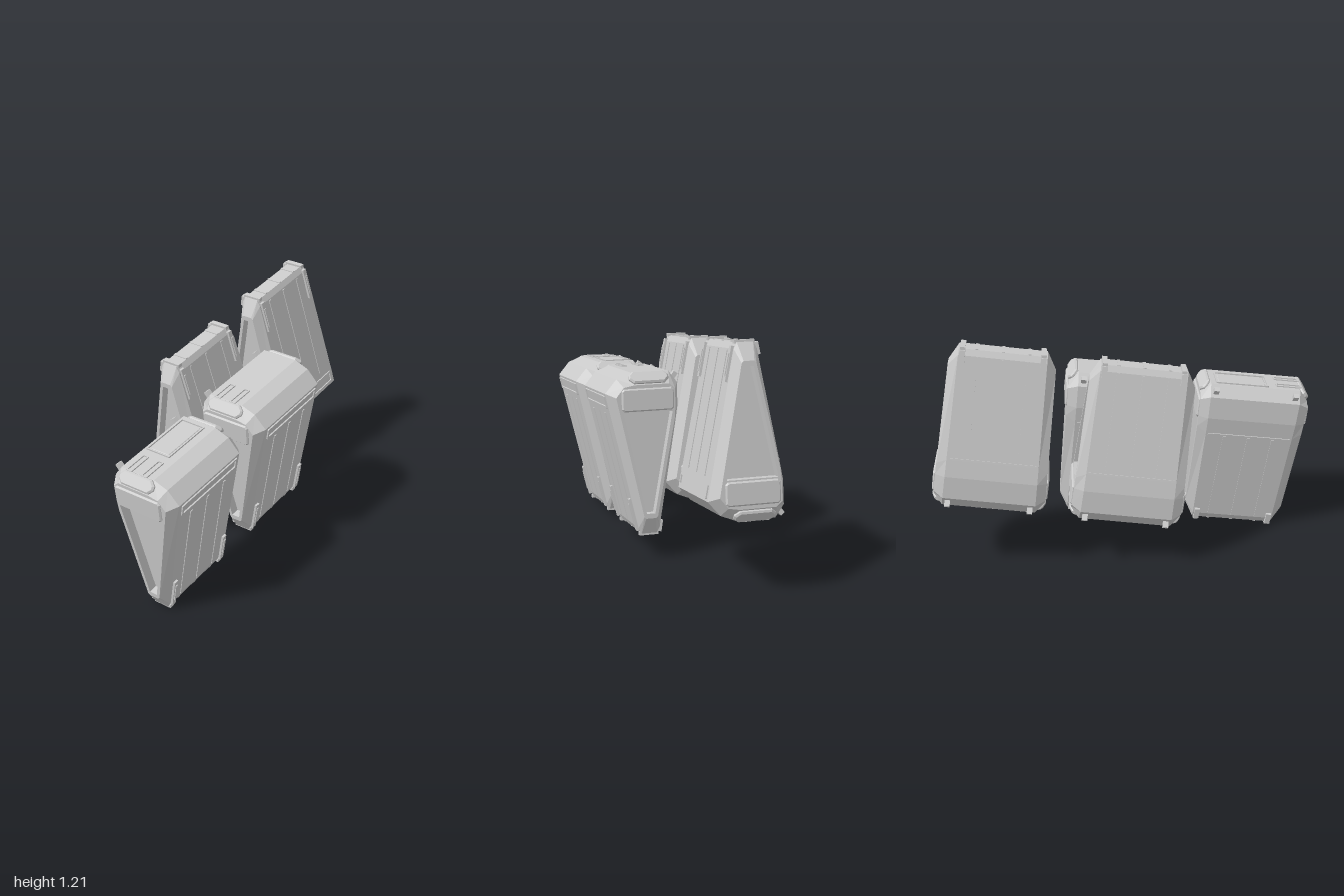
import * as THREE from 'three';

const mat = new THREE.MeshStandardMaterial({ color: 0xcccccc, flatShading: true });

// Side profile as [z, y]: wide end at y = 0, narrow end on top
const OUTER = [[0.075, 0], [0.15, 0.03], [0.21, 0.1], [0.056, 0.8], [0.04, 0.83], [-0.04, 0.83],
  [-0.056, 0.8], [-0.15, 0.27], [-0.165, 0.18], [-0.165, 0.06], [-0.12, 0]];
// Same profile inset at the end faces, and the recess cut into them
const INNER = [[0.07, 0.06], [0.125, 0.07], [0.165, 0.12], [0.036, 0.735], [0.026, 0.745], [-0.026, 0.745],
  [-0.036, 0.735], [-0.135, 0.24], [-0.14, 0.18], [-0.14, 0.085], [-0.11, 0.06]];
const RECESS = [[0.128, 0.2], [0.022, 0.72], [-0.022, 0.72], [-0.125, 0.2]];
const HALF = 0.2875, CORE = 0.2375;

function add(parent, geo, name, x = 0, y = 0, z = 0, rx = 0, ry = 0, rz = 0) {
  const m = new THREE.Mesh(geo, mat);
  m.name = name;
  m.position.set(x, y, z);
  m.rotation.set(rx, ry, rz, 'ZYX');
  parent.add(m);
  return m;
}

// The body gets slightly narrower towards the narrow end
function taper(geo) {
  const p = geo.attributes.position;
  for (let i = 0; i < p.count; i++) p.setX(i, p.getX(i) * (1 - 0.094 * p.getY(i)));
  geo.computeVertexNormals();
  return geo;
}

// Skin between successive [profile, x] loops
function loft(loops) {
  const pos = [];
  for (let k = 0; k + 1 < loops.length; k++) {
    const [A, xa] = loops[k], [B, xb] = loops[k + 1];
    A.forEach((p, i) => {
      const j = (i + 1) % A.length;
      const a = [xa, p[1], p[0]], b = [xa, A[j][1], A[j][0]];
      const c = [xb, B[j][1], B[j][0]], d = [xb, B[i][1], B[i][0]];
      pos.push(...a, ...c, ...b, ...a, ...d, ...c);
    });
  }
  const g = new THREE.BufferGeometry();
  g.setAttribute('position', new THREE.Float32BufferAttribute(pos, 3));
  return taper(g);
}

// Flat end face at x, with an optional hole
function endCap(outline, side, x, hole) {
  const pts = (l) => l.map(([z, y]) => new THREE.Vector2(-side * z, y));
  const shape = new THREE.Shape(pts(outline));
  if (hole) shape.holes.push(new THREE.Path(pts(hole)));
  const g = new THREE.ShapeGeometry(shape);
  g.rotateY(side * Math.PI / 2).translate(side * x, 0, 0);
  return taper(g);
}

function octagon(w, h, c) {
  const a = w / 2, b = h / 2;
  return [[a - c, -b], [a, -b + c], [a, b - c], [a - c, b], [-a + c, b], [-a, b - c], [-a, -b + c], [-a + c, -b]]
    .map(([x, y]) => new THREE.Vector2(x, y));
}

// Raised plate with cut corners and bevelled rim, facing +z
function plate(w, h, d, cut) {
  return new THREE.ExtrudeGeometry(new THREE.Shape(octagon(w, h, cut)), {
    depth: d / 2, bevelThickness: d / 2, bevelSize: d / 2, bevelOffset: -d / 2, bevelSegments: 1,
  });
}

// Thin raised rectangular frame, facing +z
function frame(w, h, t, d) {
  const s = new THREE.Shape(octagon(w, h, 0.003));
  s.holes.push(new THREE.Path(octagon(w - 2 * t, h - 2 * t, 0.002)));
  return new THREE.ExtrudeGeometry(s, { depth: d, bevelEnabled: false });
}

const box = (w, h, d) => new THREE.BoxGeometry(w, h, d);

function makeUnit(withPanel) {
  const g = new THREE.Group();

  // Wedge body with bevelled ends and recessed end faces
  add(g, loft([[INNER, -HALF], [OUTER, -CORE], [OUTER, CORE], [INNER, HALF]]), 'wedgeBody');
  add(g, loft([[RECESS, HALF], [RECESS, CORE]]), 'recessWall');
  add(g, loft([[RECESS, -CORE], [RECESS, -HALF]]), 'recessWall');
  for (const s of [1, -1]) {
    add(g, endCap(INNER, s, HALF, RECESS), 'endRim');
    add(g, endCap(RECESS, s, CORE), 'recessFloor');
    add(g, plate(0.27, 0.115, 0.014, 0.012), 'endPlate', s * 0.28, 0.135, 0.003, 0, s * Math.PI / 2, 0);
    add(g, plate(0.205, 0.07, 0.016, 0.024), 'cornerPad', s * 0.262, 0.028, -0.008, 0, s * Math.PI / 2, -s * 0.695);
  }

  // Front face: label frame, ribs and long clips
  const front = new THREE.Group();
  front.name = 'frontDetails';
  front.position.set(0, 0.1, 0.21);
  front.rotation.x = -Math.atan2(0.154, 0.7);
  add(front, frame(0.43, 0.065, 0.011, 0.007), 'labelFrame', 0, 0.045, 0);
  // Back face: seam and short clips
  const back = new THREE.Group();
  back.name = 'backDetails';
  back.position.set(0, 0.27, -0.15);
  back.rotation.set(Math.atan2(0.094, 0.53), Math.PI, 0);
  add(back, box(0.44, 0.012, 0.01), 'seam', 0, 0.005, 0);
  for (const x of [-0.13, 0, 0.13]) {
    add(front, box(0.016, 0.6, 0.008), 'rib', x, 0.41, 0);
    add(back, box(0.016, 0.52, 0.008), 'rib', x, 0.275, 0);
    add(g, box(0.016, 0.008, 0.08), 'endRib', x, 0.83, 0);
  }
  for (const x of [-0.2, 0.2]) {
    add(front, box(0.026, 0.17, 0.016), 'clip', x, 0.645, 0.004);
    add(front, box(0.012, 0.11, 0.026), 'clipRidge', x, 0.64, 0.004);
    add(back, box(0.028, 0.06, 0.03), 'clip', x, 0.535, 0);
    add(g, box(0.026, 0.018, 0.1), 'clipBridge', x, 0.832, 0);
    add(g, box(0.028, 0.06, 0.024), 'latch', x * 1.05, 0.035, -0.146, 0.65);
  }
  g.add(front, back);

  // Wide end: slots, plus a hatch on some units
  for (const z of [-0.07, 0.02]) add(g, frame(0.135, 0.035, 0.007, 0.006), 'slotFrame', 0.18, 0, z, Math.PI / 2);
  if (withPanel) {
    add(g, frame(0.28, 0.14, 0.007, 0.007), 'hatchFrame', -0.07, 0, -0.038, Math.PI / 2);
    add(g, plate(0.25, 0.11, 0.005, 0.008), 'hatch', -0.07, 0.002, -0.038, Math.PI / 2);
  }
  return g;
}

export function createModel() {
  const model = new THREE.Group();
  // [name, x, y, z, tilt, hatch]: front pair stands narrow end down
  const units = [
    ['frontRightUnit', -0.7, 0.875, 0.14, Math.PI + 0.112, true],
    ['frontLeftUnit', -0.01, 0.952, 0.14, Math.PI + 0.112, false],
    ['backRightUnit', 0.007, 0.266, -0.177, 0.13, false],
    ['backLeftUnit', 0.705, 0.366, -0.177, 0.13, true],
  ];
  for (const [name, x, y, z, tilt, hatch] of units) {
    const u = makeUnit(hatch);
    u.name = name;
    u.position.set(x, y, z);
    u.rotation.z = tilt;
    model.add(u);
  }
  return model;
}
